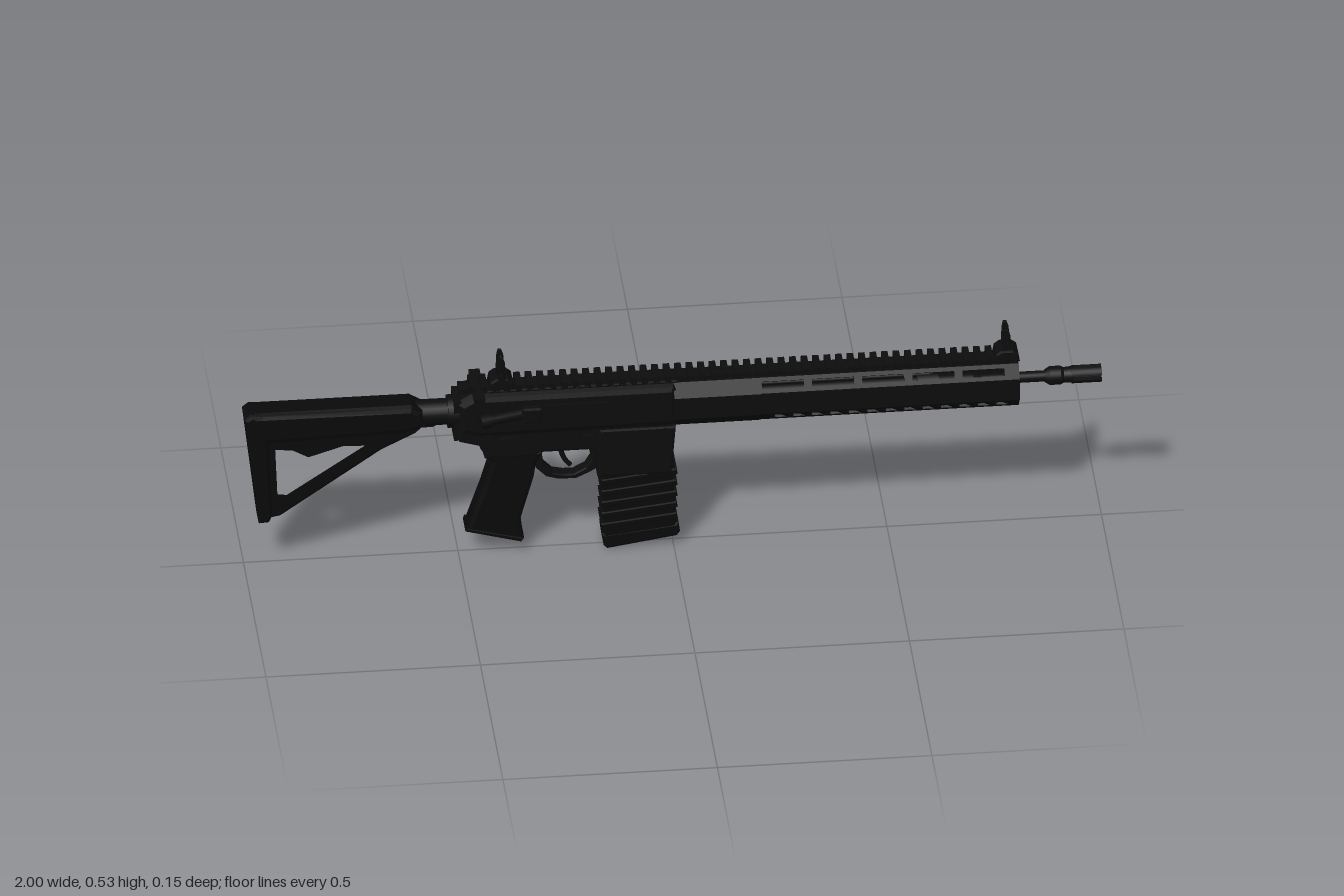
import * as THREE from 'three';
import { mergeGeometries } from 'three/addons/utils/BufferGeometryUtils.js';

const CZ = -0.006;   // centre plane of the body
const AXIS = 0.385;  // height of the bore line

export function createModel() {
  const root = new THREE.Group();
  const metal = new THREE.MeshStandardMaterial({ color: 0x0d0d0d });
  metal.name = 'blackMetal';
  const polymer = new THREE.MeshStandardMaterial({ color: 0x0a0a0a });
  polymer.name = 'blackPolymer';

  const add = (name, geo, mat = metal, parent = root) => {
    const m = new THREE.Mesh(geo, mat);
    m.name = name;
    parent.add(m);
    return m;
  };
  const path = (pts, Type = THREE.Shape) => new Type(pts.map(p => new THREE.Vector2(...p)));
  // side profile extruded symmetrically across z
  const slab = (pts, half, bevel = 0.006, holes = [], z = CZ) => {
    const s = path(pts);
    holes.forEach(h => s.holes.push(path(h, THREE.Path)));
    return new THREE.ExtrudeGeometry(s, {
      depth: 2 * (half - bevel), bevelEnabled: bevel > 0, bevelThickness: bevel,
      bevelSize: bevel, bevelOffset: -bevel, bevelSegments: 2,
    }).translate(0, 0, z - half + bevel);
  };
  const box = (x0, x1, y0, y1, z0, z1) => new THREE.BoxGeometry(x1 - x0, y1 - y0, z1 - z0)
    .translate((x0 + x1) / 2, (y0 + y1) / 2, (z0 + z1) / 2);
  // turned part along x from [x, radius] pairs
  const turned = (pts, y = AXIS, z = CZ, seg = 24) => {
    const parts = [];
    for (let i = 0; i < pts.length - 1; i++) {
      const [xa, ra] = pts[i], [xb, rb] = pts[i + 1];
      if (xb > xa) parts.push(new THREE.CylinderGeometry(rb, ra, xb - xa, seg)
        .rotateZ(-Math.PI / 2).translate((xa + xb) / 2, y, z));
    }
    return mergeGeometries(parts);
  };
  const pin = (x, y, r, half) => new THREE.CylinderGeometry(r, r, 2 * half, 16)
    .rotateX(Math.PI / 2).translate(x, y, CZ);

  // ---- shoulder stock ----
  add('stockFrame', slab(
    [[-0.995, 0.40], [-0.60, 0.40], [-0.575, 0.365], [-0.60, 0.34], [-0.68, 0.30], [-0.915, 0.135], [-0.96, 0.125]],
    0.028, 0.007,
    [[[-0.935, 0.325], [-0.885, 0.32], [-0.85, 0.30], [-0.77, 0.325], [-0.71, 0.318], [-0.90, 0.185], [-0.93, 0.19]]]), polymer);
  add('stockComb', slab(
    [[-0.99, 0.417], [-0.61, 0.417], [-0.585, 0.402], [-0.575, 0.36], [-0.62, 0.345], [-0.97, 0.335]],
    0.037, 0.014), polymer);
  add('buttPad', slab(
    [[-1, 0.405], [-0.985, 0.417], [-0.955, 0.415], [-0.945, 0.36], [-0.935, 0.14], [-0.942, 0.122], [-0.967, 0.12]],
    0.036, 0.008), polymer);
  add('stockLever', slab([[-0.87, 0.305], [-0.86, 0.29], [-0.74, 0.325], [-0.70, 0.345], [-0.78, 0.345]], 0.014, 0.003), polymer);
  add('bufferTube', turned([[-0.62, 0.031], [-0.50, 0.031]], 0.38));
  add('castleNut', turned([[-0.525, 0.039], [-0.50, 0.039]], 0.38));
  add('tubeKeel', slab([[-0.62, 0.36], [-0.62, 0.345], [-0.56, 0.345], [-0.53, 0.36]], 0.012, 0.003));

  // ---- receiver ----
  add('upperReceiver', slab(
    [[-0.50, 0.34], [-0.505, 0.42], [-0.47, 0.44], [0, 0.44], [0.01, 0.43], [0.01, 0.33], [-0.45, 0.325]], 0.043, 0.016));
  add('receiverSpine', slab([[-0.46, 0.43], [-0.46, 0.446], [0.01, 0.446], [0.01, 0.43]], 0.028, 0.003));
  add('lowerReceiver', slab(
    [[-0.50, 0.355], [-0.50, 0.315], [-0.45, 0.30], [-0.44, 0.265], [-0.33, 0.265], [-0.31, 0.275],
      [-0.19, 0.275], [-0.16, 0.25], [0, 0.25], [0, 0.355]], 0.038, 0.006));
  add('magazineWell', slab([[-0.175, 0.33], [-0.178, 0.20], [-0.005, 0.20], [0.005, 0.33]], 0.041, 0.006));
  add('endPlate', box(-0.512, -0.495, 0.32, 0.425, CZ - 0.036, CZ + 0.036));
  add('ejectionCover', box(-0.30, -0.15, 0.362, 0.41, CZ + 0.04, CZ + 0.048));
  add('caseDeflector', slab([[-0.355, 0.37], [-0.355, 0.41], [-0.31, 0.41], [-0.31, 0.37]], 0.012, 0.004, [], 0.042));
  const assist = add('forwardAssist', mergeGeometries([
    new THREE.CylinderGeometry(0.013, 0.013, 0.13, 16).rotateZ(Math.PI / 2),
    new THREE.CylinderGeometry(0.017, 0.017, 0.025, 16).rotateZ(Math.PI / 2).translate(-0.06, 0, 0),
  ]));
  assist.position.set(-0.385, 0.387, 0.043);
  assist.rotation.y = 0.27;
  add('chargingHandle', mergeGeometries([
    box(-0.50, -0.40, 0.437, 0.448, CZ - 0.02, CZ + 0.02),
    box(-0.468, -0.442, 0.438, 0.448, -0.075, 0.06)]));
  add('pins', mergeGeometries([pin(-0.43, 0.325, 0.011, 0.041), pin(-0.27, 0.30, 0.006, 0.04),
    pin(-0.34, 0.30, 0.006, 0.04), pin(-0.02, 0.315, 0.011, 0.044)]));
  add('magazineRelease', box(-0.215, -0.185, 0.30, 0.32, CZ + 0.03, CZ + 0.049));
  add('boltCatch', slab([[-0.20, 0.30], [-0.165, 0.305], [-0.16, 0.345], [-0.19, 0.345]], 0.006, 0.002, [], -0.046));
  for (const s of [-1, 1]) {
    const lever = add('safetyLever', box(-0.025, 0.025, -0.006, 0.006, -0.005, 0.005));
    lever.position.set(-0.385, 0.318, CZ + s * 0.042);
    lever.rotation.z = 0.1;
  }

  // ---- grip, trigger and guard ----
  add('pistolGrip', slab(
    [[-0.45, 0.285], [-0.425, 0.25], [-0.445, 0.18], [-0.482, 0.07], [-0.47, 0.062], [-0.36, 0.033],
      [-0.35, 0.04], [-0.355, 0.09], [-0.325, 0.20], [-0.32, 0.235], [-0.30, 0.275]], 0.03, 0.011), polymer);
  add('gripCap', slab([[-0.482, 0.075], [-0.485, 0.066], [-0.355, 0.03], [-0.348, 0.04]], 0.032, 0.003), polymer);
  add('trigger', new THREE.TubeGeometry(new THREE.CatmullRomCurve3([
    [-0.262, 0.285], [-0.258, 0.25], [-0.25, 0.23], [-0.238, 0.215],
  ].map(p => new THREE.Vector3(...p, CZ))), 12, 0.006, 8));
  add('triggerGuard', slab(
    [[-0.33, 0.265], [-0.32, 0.22], [-0.295, 0.195], [-0.265, 0.186], [-0.225, 0.186], [-0.195, 0.2], [-0.17, 0.215], [-0.17, 0.28], [-0.33, 0.28]],
    0.016, 0.003,
    [[[-0.306, 0.262], [-0.30, 0.225], [-0.28, 0.204], [-0.255, 0.198], [-0.23, 0.198], [-0.203, 0.213], [-0.19, 0.235], [-0.195, 0.262], [-0.21, 0.272], [-0.29, 0.272]]]));

  // ---- magazine with raised ribs ----
  add('magazine', slab([[-0.17, 0.27], [-0.163, 0.03], [0.005, 0.05], [-0.005, 0.27]], 0.036, 0.006), polymer);
  const ribs = [];
  for (let i = 0; i < 5; i++) {
    const y = 0.055 + i * 0.03;
    ribs.push(slab([[-0.168, y], [0.009, y + 0.02], [0.007, y + 0.036], [-0.17, y + 0.016]], 0.0385, 0.003));
  }
  add('magazineRibs', mergeGeometries(ribs), polymer);
  add('magazineBase', slab([[-0.167, 0.04], [-0.163, 0.008], [-0.155, 0], [0.008, 0.025], [0.015, 0.035], [0.012, 0.06]], 0.036, 0.006), polymer);

  // ---- eight-sided handguard made of slotted plates ----
  const guard = new THREE.Group();
  guard.name = 'handguard';
  root.add(guard);
  const ring = [[0.05, -0.028], [0.05, 0.028], [0.026, 0.057], [-0.026, 0.057],
    [-0.05, 0.028], [-0.05, -0.028], [-0.026, -0.057], [0.026, -0.057]];
  ring.forEach(([z0, y0], i) => {
    const [z1, y1] = ring[(i + 1) % 8];
    const w = Math.hypot(z1 - z0, y1 - y0), holes = [];
    const slot = (x, len, lean) => holes.push([[x - lean, -0.009], [x + len - lean, -0.009], [x + len + lean, 0.009], [x + lean, 0.009]]);
    if (i === 1 || i === 3) for (let k = 0; k < 5; k++) slot(0.205 + k * 0.117, 0.098, 0);
    if (i === 5 || i === 7) for (let k = 0; k < 13; k++) slot(0.23 + k * 0.043, 0.027, i === 7 ? -0.007 : 0.007);
    const plate = add('handguardPlate', slab(
      [[0, -w / 2], [0.805, -w / 2], [0.805, w / 2], [0, w / 2]], 0.003, 0, holes, -0.003), metal, guard);
    const t = new THREE.Vector3(0, y1 - y0, z1 - z0).normalize(), x = new THREE.Vector3(1, 0, 0);
    plate.applyMatrix4(new THREE.Matrix4().makeBasis(x, t, x.clone().cross(t))
      .setPosition(0, 0.383 + (y0 + y1) / 2, CZ + (z0 + z1) / 2));
  });
  // solid clamp section next to the receiver
  add('handguardClamp', new THREE.ExtrudeGeometry(path(ring.map(([z, y]) => [-z * 1.05, y * 1.01])), { depth: 0.2, bevelEnabled: false })
    .rotateY(Math.PI / 2).translate(0, 0.383, CZ), metal, guard);
  for (const s of [-1, 1]) for (const x of [0.04, 0.14])
    add('clampScrew', new THREE.CylinderGeometry(0.008, 0.008, 0.006, 12).rotateX(Math.PI / 2)
      .translate(x, 0.385, CZ + s * 0.053), metal, guard);

  // ---- top rail, and a short toothed strip below ----
  const teeth = [box(-0.48, 0.805, 0.436, 0.449, CZ - 0.02, CZ + 0.02)];
  for (let x = -0.475; x < 0.795; x += 0.0268) teeth.push(box(x, x + 0.015, 0.444, 0.459, CZ - 0.029, CZ + 0.029));
  add('topRail', mergeGeometries(teeth));
  const lugs = [];
  for (let x = 0.02; x < 0.79; x += 0.0268) lugs.push(box(x, x + 0.015, 0.322, 0.33, CZ - 0.018, CZ + 0.018));
  add('lowerRail', mergeGeometries(lugs));

  // ---- barrel and muzzle ----
  add('barrel', turned([[0, 0.018], [0.70, 0.018], [0.72, 0.013], [0.88, 0.013]]));
  add('gasTube', turned([[0.1, 0.006], [0.6, 0.006]], 0.409, CZ, 10));
  add('gasBlock', turned([[0.57, 0.026], [0.62, 0.026]]));
  add('muzzleCollar', turned([[0.868, 0.015], [0.88, 0.022], [0.905, 0.022], [0.912, 0.018], [0.935, 0.02]]));
  for (let k = 0; k < 4; k++) {
    const a = k * Math.PI / 2 + 0.25, s = new THREE.Shape();
    s.absarc(0, 0, 0.021, a, a + 1.05, false);
    s.absarc(0, 0, 0.012, a + 1.05, a, true);
    add('muzzleProng', new THREE.ExtrudeGeometry(s, { depth: 0.07, bevelEnabled: false, curveSegments: 6 })
      .rotateY(Math.PI / 2).translate(0.93, AXIS, CZ));
  }

  // ---- folding sights ----
  const sight = (name, x, rear) => {
    const g = new THREE.Group();
    g.name = name;
    g.position.set(x, 0, CZ);
    root.add(g);
    add('sightBase', slab([[-0.03, 0.445], [0.03, 0.445], [0.026, 0.466], [0.014, 0.475], [-0.014, 0.475], [-0.026, 0.466]], 0.028, 0.004, [], 0), metal, g);
    add('sightStem', box(-0.009, 0.009, 0.465, 0.495, -0.021, 0.021), metal, g);
    for (const s of [-1, 1])
      add('sightWing', slab([[-0.01, 0.47], [0.011, 0.47], [0.008, 0.515], [0.003, 0.53], [-0.005, 0.53], [-0.008, 0.515]], 0.0035, 0.001, [], s * 0.019), metal, g);
    if (rear) {
      add('aperture', new THREE.TorusGeometry(0.008, 0.003, 8, 20).rotateY(Math.PI / 2).translate(0, 0.516, 0), metal, g);
      add('apertureStem', box(-0.004, 0.004, 0.49, 0.509, -0.005, 0.005), metal, g);
      add('windageKnob', new THREE.CylinderGeometry(0.009, 0.009, 0.012, 14).rotateX(Math.PI / 2).translate(0, 0.478, 0.027), metal, g);
    } else add('sightPost', new THREE.CylinderGeometry(0.002, 0.003, 0.03, 8).translate(0, 0.508, 0), metal, g);
  };
  sight('rearSight', -0.4, true);
  sight('frontSight', 0.778, false);
  return root;
}
